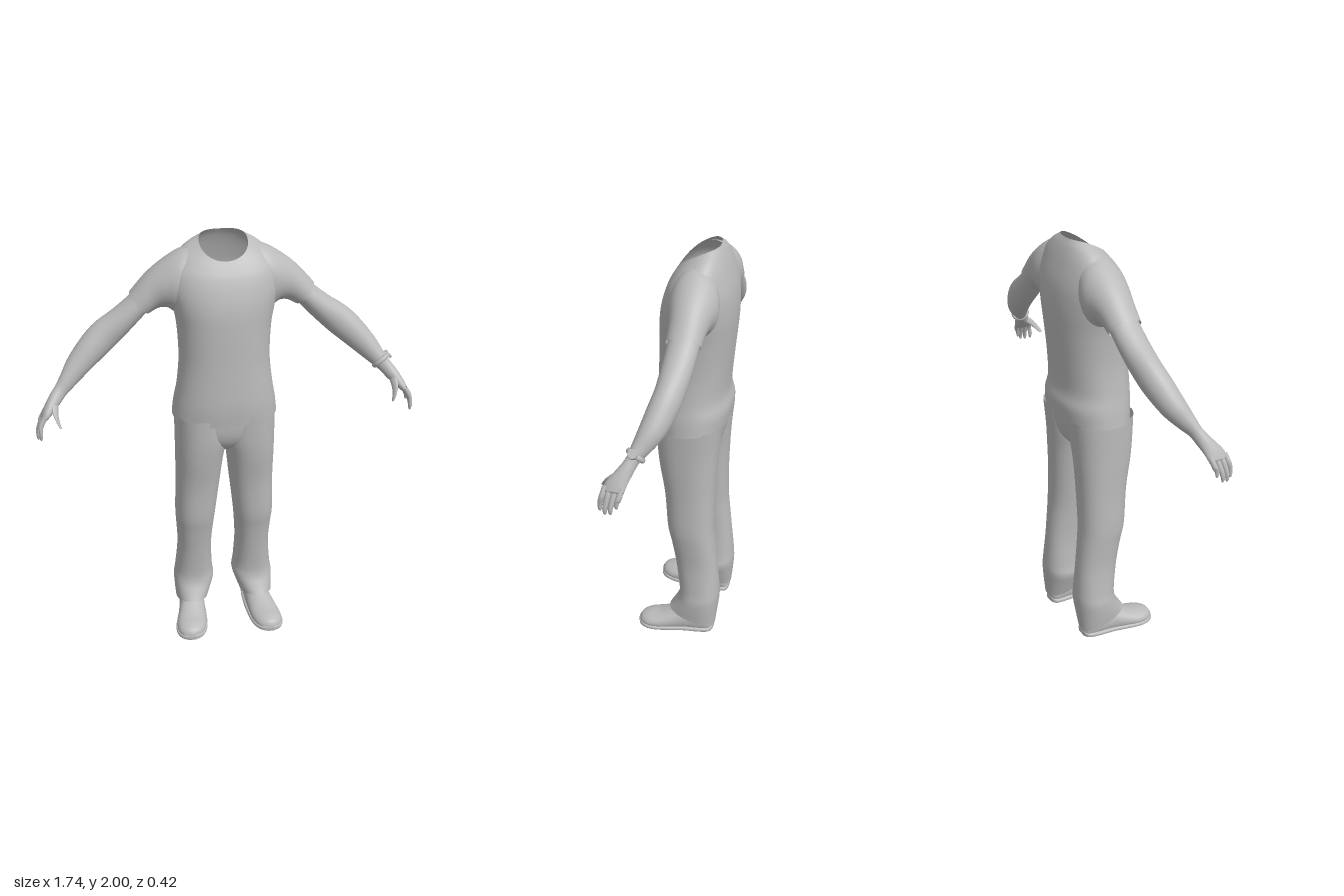
import * as THREE from 'three';

const grey = new THREE.MeshStandardMaterial({ color: 0xbababa, side: THREE.DoubleSide });
grey.name = 'plain grey';
const V3 = (x, y, z) => new THREE.Vector3(x, y, z);

// Cross-section lying flat, with tilt along z and raised sides (lift)
const flat = ([y, x0, x1, z0, z1, tilt = 0, lift = 0]) => ({
  c: V3((x0 + x1) / 2, y, (z0 + z1) / 2),
  u: V3(0, tilt * (z1 - z0) / 2, (z1 - z0) / 2),
  v: V3((x1 - x0) / 2, 0, 0),
  w: V3(0, lift, 0),
});
// Cross-section of an arm, from its upper and lower edge and its depth
const limb = ([tx, ty, bx, by, z0, z1]) => ({
  c: V3((tx + bx) / 2, (ty + by) / 2, (z0 + z1) / 2),
  u: V3((tx - bx) / 2, (ty - by) / 2, 0),
  v: V3(0, 0, (z1 - z0) / 2),
  w: V3(0, 0, 0),
});
// Upright cross-section of a shoe, facing z
const upright = ([z, x, w, h]) => ({
  c: V3(x, h * 0.4, z), u: V3(w, 0, 0), v: V3(0, h * 0.6, 0), w: V3(0, 0, 0),
});
// Round cross-section of a finger
const round = ([x, y, z, r]) => ({
  c: V3(x, y, z), u: V3(r * 0.75, r * 0.66, 0), v: V3(0, 0, r), w: V3(0, 0, 0),
});

// Smooth skin through the sections; side -1 mirrors it in x
function loft(name, sections, { side = 1, seg = 32, steps = 5, pow = 1, cap0 = false, cap1 = false, floor = false } = {}) {
  const curves = {};
  for (const k of ['c', 'u', 'v', 'w'])
    curves[k] = new THREE.CatmullRomCurve3(sections.map((s) => s[k]), false, 'catmullrom', 0.5);
  const rows = (sections.length - 1) * steps;
  const pos = [], idx = [];
  const tri = (a, b, c) => (side > 0 ? idx.push(a, b, c) : idx.push(a, c, b));
  const soft = (n) => Math.sign(n) * Math.pow(Math.abs(n), pow);
  for (let i = 0; i <= rows; i++) {
    const t = i / rows;
    const c = curves.c.getPoint(t), u = curves.u.getPoint(t), v = curves.v.getPoint(t), w = curves.w.getPoint(t);
    for (let j = 0; j < seg; j++) {
      const a = (j / seg) * Math.PI * 2, s = soft(Math.sin(a));
      const p = c.clone().addScaledVector(u, soft(Math.cos(a))).addScaledVector(v, s).addScaledVector(w, s * s);
      pos.push(p.x * side, floor ? Math.max(0, p.y) : p.y, p.z);
    }
  }
  for (let i = 0; i < rows; i++)
    for (let j = 0; j < seg; j++) {
      const k = (j + 1) % seg, a = i * seg, b = a + seg;
      tri(a + j, a + k, b + k);
      tri(a + j, b + k, b + j);
    }
  const close = (row, last) => {
    const c = sections[last ? sections.length - 1 : 0].c, n = pos.length / 3;
    pos.push(c.x * side, c.y, c.z);
    for (let j = 0; j < seg; j++) {
      const a = row * seg + j, b = row * seg + ((j + 1) % seg);
      if (last) tri(a, b, n); else tri(b, a, n);
    }
  };
  if (cap0) close(0, false);
  if (cap1) close(rows, true);
  const g = new THREE.BufferGeometry();
  g.setAttribute('position', new THREE.Float32BufferAttribute(pos, 3));
  g.setIndex(idx);
  g.computeVertexNormals();
  const m = new THREE.Mesh(g, grey);
  m.name = name;
  return m;
}

export function createModel() {
  const model = new THREE.Group();
  model.name = 'clothedBody';

  // Shirt body, hem to neckline: y, half width, back z, front z, tilt, lift
  const shirt = [
    [1.165, 0.245, -0.19, 0.133, -0.09], [1.24, 0.235, -0.195, 0.14, -0.04], [1.32, 0.22, -0.181, 0.139],
    [1.45, 0.207, -0.19, 0.134], [1.6, 0.213, -0.204, 0.13], [1.7, 0.23, -0.21, 0.124, -0.05],
    [1.79, 0.245, -0.202, 0.108, -0.15], [1.87, 0.232, -0.176, 0.085, -0.28, 0.005],
    [1.92, 0.178, -0.153, 0.063, -0.42, 0.015], [1.955, 0.107, -0.132, 0.04, -0.53, 0.02],
  ].map(([y, w, z0, z1, tilt, lift]) => flat([y, -w, w, z0, z1, tilt, lift]));
  model.add(loft('shirt', shirt, { seg: 48, pow: 0.88 }));

  // Seat of the trousers, closing at the crotch
  const seat = [
    [0.99, -0.04, 0.04, -0.09, 0.05], [1.03, -0.13, 0.13, -0.14, 0.092],
    [1.09, -0.215, 0.215, -0.163, 0.117], [1.19, -0.233, 0.233, -0.178, 0.126],
  ].map(flat);
  model.add(loft('trouserSeat', seat, { pow: 0.85, cap0: true }));

  const legRows = [
    [0.08, 0.09, 0.245, -0.172, 0.06, 0.33], [0.14, 0.068, 0.25, -0.18, 0.036, 0.15],
    [0.2, 0.05, 0.251, -0.186, 0.015], [0.26, 0.057, 0.242, -0.184, 0.012],
    [0.4, 0.063, 0.23, -0.172, 0.03], [0.52, 0.056, 0.235, -0.16, 0.05],
    [0.62, 0.046, 0.24, -0.152, 0.07], [0.8, 0.025, 0.235, -0.152, 0.085],
    [0.95, 0.008, 0.235, -0.158, 0.11], [1.05, -0.01, 0.235, -0.165, 0.122],
    [1.18, -0.01, 0.235, -0.177, 0.128],
  ];
  const sleeveRows = [
    [0.14, 1.958, 0.15, 1.67, -0.165, 0.03], [0.2, 1.936, 0.21, 1.655, -0.178, 0.04],
    [0.27, 1.892, 0.25, 1.68, -0.168, 0.025], [0.34, 1.835, 0.288, 1.68, -0.156, 0.008],
    [0.415, 1.752, 0.332, 1.658, -0.148, 0.002],
  ];
  const armRows = [
    [0.36, 1.8, 0.29, 1.7, -0.14, -0.01], [0.408, 1.745, 0.338, 1.665, -0.14, -0.006],
    [0.49, 1.68, 0.412, 1.59, -0.135, -0.003], [0.57, 1.628, 0.49, 1.515, -0.125, 0],
    [0.63, 1.573, 0.555, 1.462, -0.11, 0.014], [0.7, 1.488, 0.632, 1.402, -0.075, 0.034],
    [0.738, 1.427, 0.688, 1.36, -0.03, 0.05], [0.765, 1.385, 0.722, 1.335, 0.002, 0.062],
    [0.797, 1.345, 0.757, 1.3, 0.02, 0.092], [0.826, 1.3, 0.792, 1.27, 0.034, 0.125],
    [0.844, 1.262, 0.818, 1.248, 0.042, 0.132],
  ];
  // Fingers: z at knuckle, z at tip, tip x, tip y
  const fingers = [
    [0.052, 0.068, 0.852, 1.19], [0.076, 0.09, 0.864, 1.168],
    [0.1, 0.114, 0.862, 1.163], [0.122, 0.139, 0.85, 1.17],
  ];
  const shoeRows = [
    [-0.16, 0.162, 0.022, 0.06], [-0.145, 0.162, 0.045, 0.1], [-0.1, 0.165, 0.056, 0.13],
    [-0.02, 0.17, 0.063, 0.125], [0.05, 0.181, 0.07, 0.095], [0.11, 0.191, 0.074, 0.073],
    [0.16, 0.197, 0.067, 0.063], [0.195, 0.2, 0.045, 0.05], [0.21, 0.201, 0.015, 0.03],
  ];

  for (const side of [1, -1]) {
    const n = side > 0 ? 'left' : 'right';
    model.add(loft(n + 'TrouserLeg', legRows.map(flat), { side, pow: 0.86 }));
    model.add(loft(n + 'Sleeve', sleeveRows.map(limb), { side }));
    model.add(loft(n + 'Arm', armRows.map(limb), { side, seg: 24, cap1: true }));

    // Hand details
    const hand = new THREE.Group();
    hand.name = n + 'Fingers';
    fingers.forEach(([z0, z1, x, y], i) => {
      const rows = [
        [0.822, 1.275, z0, 0.012], [0.845, 1.235, (z0 + z1) / 2, 0.0125],
        [x - 0.003, y + 0.028, z1, 0.0105], [x, y + 0.006, z1, 0.007], [x, y, z1, 0.002],
      ].map(round);
      hand.add(loft('finger' + (i + 1), rows, { side, seg: 10, steps: 3, cap1: true }));
    });
    const thumb = [
      [0.775, 1.32, 0.07, 0.02], [0.778, 1.285, 0.112, 0.0175], [0.77, 1.255, 0.138, 0.013],
      [0.762, 1.236, 0.152, 0.009], [0.759, 1.23, 0.156, 0.002],
    ].map(round);
    hand.add(loft('thumb', thumb, { side, seg: 12, steps: 3, cap1: true }));
    model.add(hand);

    // Shoe upper over a slightly wider sole
    model.add(loft(n + 'Shoe', shoeRows.map(upright), { side, cap0: true, cap1: true, floor: true }));
    const sole = shoeRows.map(([z, x, w]) => upright([z * 1.015, x, w * 1.06 + 0.002, 0.024]));
    model.add(loft(n + 'Sole', sole, { side, pow: 0.6, cap0: true, cap1: true, floor: true }));
  }

  // Wristwatch on the left arm
  const watch = new THREE.Group();
  watch.name = 'wristwatch';
  const band = new THREE.Mesh(new THREE.TorusGeometry(0.038, 0.007, 8, 32), grey);
  band.name = 'watchBand';
  band.scale.set(1, 1.05, 1.6);
  const dial = new THREE.Mesh(new THREE.CylinderGeometry(0.02, 0.023, 0.014, 24), grey);
  dial.name = 'watchCase';
  dial.position.y = 0.044;
  watch.add(band, dial);
  watch.position.set(0.729, 1.378, 0.022);
  // Local z runs down the forearm, local y points out from the back of the wrist
  const along = V3(0.58, -0.68, 0.45).normalize();
  const out = V3(0.75, 0.65, 0).addScaledVector(along, -V3(0.75, 0.65, 0).dot(along)).normalize();
  watch.quaternion.setFromRotationMatrix(
    new THREE.Matrix4().makeBasis(new THREE.Vector3().crossVectors(out, along), out, along));
  model.add(watch);

  return model;
}
